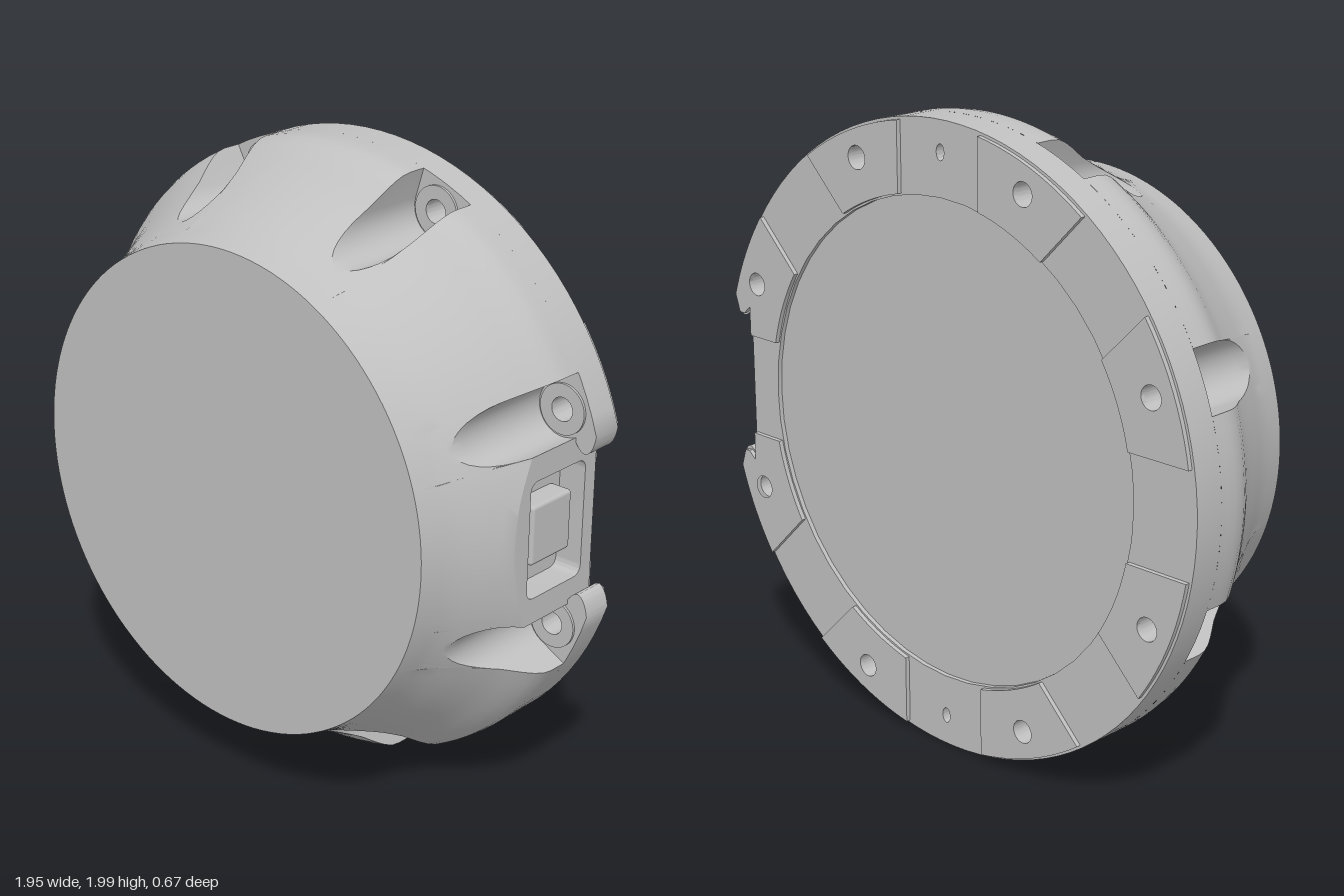
import * as THREE from 'three';
import { toCreasedNormals } from 'three/addons/utils/BufferGeometryUtils.js';
import { RoundedBoxGeometry } from 'three/addons/geometries/RoundedBoxGeometry.js';

const RAD = Math.PI / 180;
const R = 0.997, FRONT = 0.335, BACK = -0.32, FLOOR = -0.215; // main sizes
const BOLT_R = 0.903, SLOT = 0.088, HOLE = 0.037;             // bolt circle and slots
const FLAT = 0.8825, RECESS = 0.79, PORT = 0.22;              // side flat and port
const PHI = Math.asin(SLOT / BOLT_R);                         // half angle of a slot
const bolts = Array.from({ length: 8 }, (_, k) => (22.5 + 45 * k) * RAD);

// Flared housing profile: z, radius
const profile = [[0.335, 0.772], [0.24, 0.795], [0.19, 0.815], [0.14, 0.84], [0.07, 0.875], [0, 0.915],
  [-0.04, 0.944], [-0.07, 0.965], [-0.1, 0.983], [-0.125, 0.993], [-0.15, R], [-0.4, R + 0.0001]];

function lookUp(value, from, to) {
  for (let i = 1; i < profile.length; i++) {
    const a = profile[i - 1], b = profile[i];
    const t = (value - a[from]) / (b[from] - a[from]);
    if (t <= 1) return a[to] + Math.max(0, t) * (b[to] - a[to]);
  }
  return profile.at(-1)[to];
}

// One front-to-back line of the housing, cut back to the radius `cap`
function column(theta, cap = Infinity, end = FLOOR) {
  const split = lookUp(cap < R ? cap : BOLT_R * Math.cos(PHI), 1, 0);
  const points = [new THREE.Vector3(0, 0, FRONT)];
  const add = (z) => {
    const r = Math.min(lookUp(z, 0, 1), cap);
    points.push(new THREE.Vector3(r * Math.cos(theta), r * Math.sin(theta), z));
  };
  for (let i = 0; i <= 8; i++) add(FRONT + (split - FRONT) * i / 8);
  for (let i = 1; i <= 8; i++) add(split + (end - split) * i / 8);
  return points;
}

function housingGeometry() {
  const columns = [];
  const half = 22.5 * RAD - PHI, port = Math.atan(PORT / FLAT);
  const span = (a, b, n, make) => {
    for (let i = 0; i <= n; i++) columns.push(make(a + (b - a) * i / n));
  };
  bolts.forEach((bolt, k) => {
    const mid = bolt - 22.5 * RAD;
    if (k === 0) {
      // flat side, left open behind the port frame
      const flat = (end) => (t) => column(t, FLAT / Math.cos(t), end);
      span(-half, -port, 3, flat(FLOOR));
      span(-port, port, 12, flat(0));
      span(port, half, 3, flat(FLOOR));
    } else span(mid - half, mid + half, 12, (t) => column(t));
    // round-bottomed bolt slot
    span(-Math.PI / 2, Math.PI / 2, 14, (s) => {
      const phi = PHI * Math.sin(s), side = BOLT_R * Math.sin(phi);
      const cap = BOLT_R * Math.cos(phi) - Math.sqrt(Math.max(0, SLOT * SLOT - side * side));
      return column(bolt + phi, cap);
    });
  });
  columns.push(columns[0]);
  const out = [], tri = new THREE.Triangle();
  const face = (a, b, c) => {
    if (tri.set(a, b, c).getArea() > 1e-8) out.push(...a.toArray(), ...b.toArray(), ...c.toArray());
  };
  for (let i = 0; i + 1 < columns.length; i++) {
    const p = columns[i], q = columns[i + 1];
    for (let j = 0; j + 1 < p.length; j++) {
      face(p[j], p[j + 1], q[j]);
      face(q[j], p[j + 1], q[j + 1]);
    }
  }
  const g = new THREE.BufferGeometry();
  g.setAttribute('position', new THREE.Float32BufferAttribute(out, 3));
  return toCreasedNormals(g, 30 * RAD);
}

function circleHole(shape, x, y, r) {
  shape.holes.push(new THREE.Path().absarc(x, y, r, 0, Math.PI * 2, true));
}

function extrude(shape, depth, z = 0) {
  const g = new THREE.ExtrudeGeometry(shape, { depth, bevelEnabled: false, curveSegments: 24 });
  return toCreasedNormals(g.translate(0, 0, z), 30 * RAD);
}

// Rear ring with the notch between two rounded lugs
function flangeGeometry() {
  const a = Math.atan2(0.29, 0.954), s = new THREE.Shape();
  s.moveTo(RECESS, -PORT).lineTo(RECESS, PORT).lineTo(FLAT, PORT).lineTo(FLAT, 0.255);
  s.quadraticCurveTo(0.9, 0.225, 0.92, 0.225);
  s.quadraticCurveTo(0.945, 0.235, R * Math.cos(a), R * Math.sin(a));
  for (let i = 1; i <= 96; i++) {
    const t = a + (2 * Math.PI - 2 * a) * i / 96;
    s.lineTo(R * Math.cos(t), R * Math.sin(t));
  }
  s.quadraticCurveTo(0.945, -0.235, 0.92, -0.225);
  s.quadraticCurveTo(0.9, -0.225, FLAT, -0.255);
  s.lineTo(FLAT, -PORT).lineTo(RECESS, -PORT);
  circleHole(s, 0, 0, 0.765);
  for (const t of bolts) circleHole(s, BOLT_R * Math.cos(t), BOLT_R * Math.sin(t), HOLE);
  for (const y of [-0.9, 0.9]) {
    s.holes.push(new THREE.Path().absellipse(0, y, 0.016, 0.025, 0, Math.PI * 2, true));
  }
  return extrude(s, FLOOR - BACK, BACK);
}

// Rear contact pad around a bolt on the +x axis; `notch` is the side facing the port (or 0)
function padGeometry(notch) {
  const gap = 0.167, inner = 0.77, outer = 0.988, s = new THREE.Shape();
  const ti = 22.5 * RAD - Math.asin(gap / inner), to = 22.5 * RAD - Math.asin(gap / outer);
  const polar = (r, t) => [r * Math.cos(t), r * Math.sin(t)];
  const points = [];
  const arc = (r, a, b) => {
    for (let i = 0; i <= 10; i++) points.push(polar(r, a + (b - a) * i / 10));
  };
  arc(inner, ti, -ti);
  if (notch) {
    // stay inside the rounded lug
    for (const [x, y] of [[0.875, gap], [0.875, 0.262], [0.905, 0.236], [0.925, 0.238]]) {
      points.push(polar(Math.hypot(x, y), Math.atan2(y, x) - 22.5 * RAD));
    }
    arc(outer, -5.2 * RAD, to);
  } else arc(outer, -to, to);
  s.setFromPoints(points.map(([x, y]) => new THREE.Vector2(x, notch < 0 ? -y : y)));
  circleHole(s, BOLT_R, 0, HOLE);
  return extrude(s, 0.015, BACK - 0.015);
}

// Side frame with a rounded window, facing +x
function portFrameGeometry() {
  const s = new THREE.Shape();
  s.moveTo(0, -PORT).lineTo(-BACK, -PORT).lineTo(-BACK, PORT).lineTo(0, PORT).lineTo(0, -PORT);
  const x0 = 0.012, x1 = 0.27, h = 0.187, c = 0.035, w = new THREE.Path();
  w.moveTo(x0 + c, -h).lineTo(x1 - c, -h).quadraticCurveTo(x1, -h, x1, -h + c);
  w.lineTo(x1, h - c).quadraticCurveTo(x1, h, x1 - c, h);
  w.lineTo(x0 + c, h).quadraticCurveTo(x0, h, x0, h - c);
  w.lineTo(x0, -h + c).quadraticCurveTo(x0, -h, x0 + c, -h);
  s.holes.push(w);
  return extrude(s, FLAT - RECESS).rotateY(Math.PI / 2).translate(RECESS, 0, 0);
}

export function createModel() {
  const model = new THREE.Group();
  const grey = new THREE.MeshStandardMaterial({ color: 0xc0c0c0 });
  grey.name = 'metalGrey';
  const add = (name, geometry, x = 0, y = 0, z = 0) => {
    const mesh = new THREE.Mesh(geometry, grey);
    mesh.name = name;
    mesh.position.set(x, y, z);
    body.add(mesh);
    return mesh;
  };
  const body = new THREE.Group();
  body.name = 'roundHousing';
  body.position.set(0.0225, 1.002, 0);
  model.add(body);

  add('housing', housingGeometry());
  add('rearFlange', flangeGeometry());
  add('rearCover', new THREE.CylinderGeometry(0.768, 0.768, 0.03, 96).rotateX(Math.PI / 2), 0, 0, -0.29);

  // Bolt seats and rear pads
  const seat = new THREE.Shape().absarc(0, 0, 0.079, 0, Math.PI * 2);
  circleHole(seat, 0, 0, HOLE);
  const seatGeometry = extrude(seat, 0.008, FLOOR);
  bolts.forEach((t, k) => {
    add('boltSeat', seatGeometry, BOLT_R * Math.cos(t), BOLT_R * Math.sin(t));
    add('rearPad', padGeometry(k === 0 ? 1 : k === 7 ? -1 : 0)).rotation.z = t;
  });
  // Bottoms of the locating pin holes
  for (const y of [-0.9, 0.9]) add('pinHoleBottom', new THREE.BoxGeometry(0.08, 0.08, 0.02), 0, y, -0.235);

  // Side port
  add('portFrame', portFrameGeometry());
  add('portFloor', new THREE.BoxGeometry(0.02, 2 * PORT, 0.31), RECESS - 0.008, 0, -0.16);
  add('portPlug', new RoundedBoxGeometry(0.08, 0.19, 0.185, 2, 0.012), RECESS + 0.035, 0, -0.143);
  return model;
}
